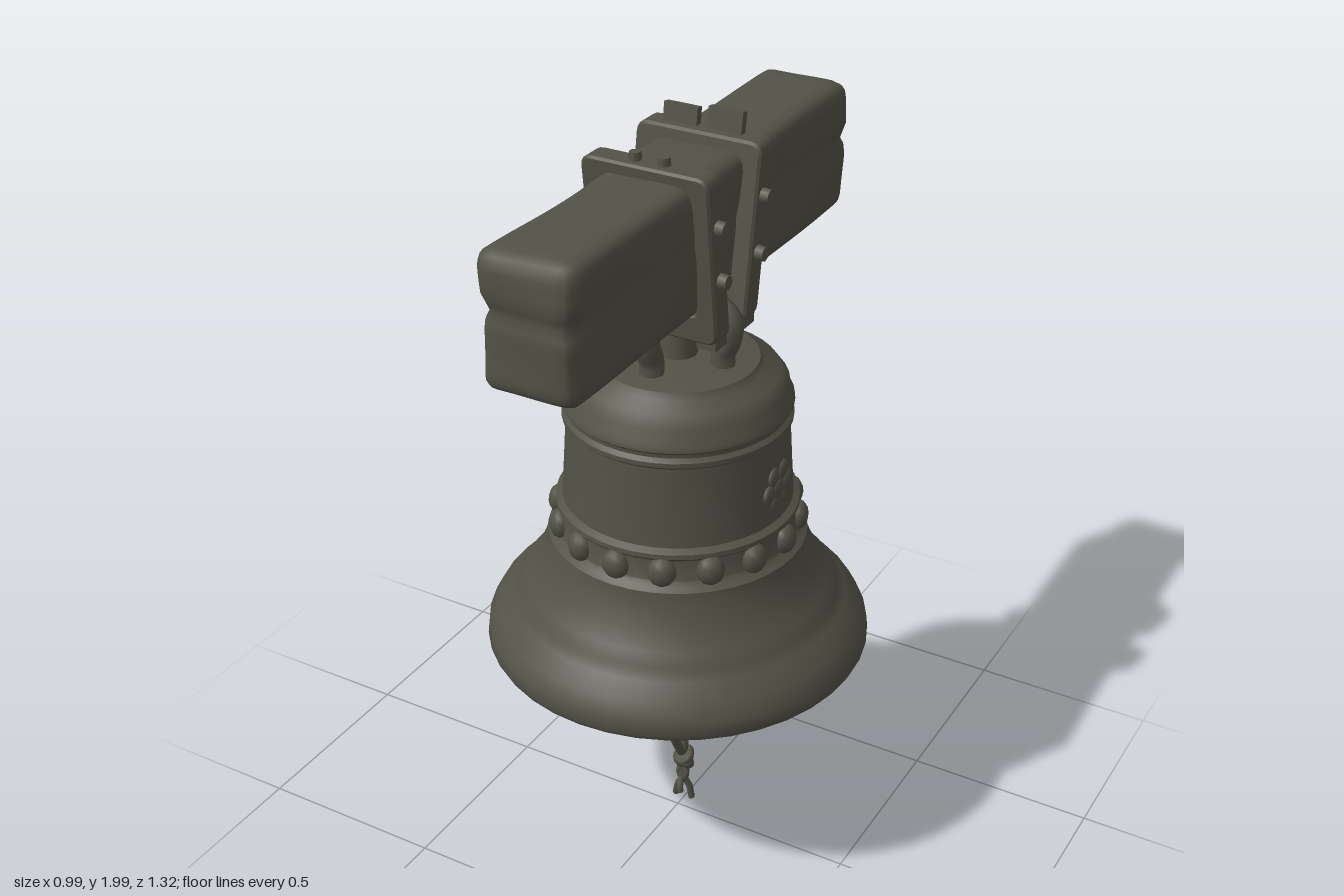
import * as THREE from 'three';
import { mergeVertices, toCreasedNormals } from 'three/addons/utils/BufferGeometryUtils.js';

const bronze = new THREE.MeshStandardMaterial({ color: 0x535246 });
bronze.name = 'weathered bronze';

function add(parent, geometry, name, x = 0, y = 0, z = 0) {
  const mesh = new THREE.Mesh(geometry, bronze);
  mesh.name = name;
  mesh.position.set(x, y, z);
  parent.add(mesh);
  return mesh;
}

function tube(points, radius, segments = 20) {
  const curve = new THREE.CatmullRomCurve3(points.map(p => new THREE.Vector3(...p)));
  return new THREE.TubeGeometry(curve, segments, radius, 8);
}

function rectPath(target, x0, y0, x1, y1, r) {
  target.moveTo(x0 + r, y0);
  target.lineTo(x1 - r, y0);
  target.quadraticCurveTo(x1, y0, x1, y0 + r);
  target.lineTo(x1, y1 - r);
  target.quadraticCurveTo(x1, y1, x1 - r, y1);
  target.lineTo(x0 + r, y1);
  target.quadraticCurveTo(x0, y1, x0, y1 - r);
  target.lineTo(x0, y0 + r);
  target.quadraticCurveTo(x0, y0, x0 + r, y0);
  return target;
}

// Rough-hewn beam: rounded box with gentle waves, grain and split ends
function beamGeometry() {
  const half = [0.122, 0.166, 0.655], r = 0.04;
  let g = new THREE.BoxGeometry(half[0] * 2, half[1] * 2, half[2] * 2, 12, 16, 40);
  g.deleteAttribute('uv');
  g.deleteAttribute('normal');
  g = mergeVertices(g);
  const pos = g.attributes.position, p = new THREE.Vector3(), inner = new THREE.Vector3();
  for (let i = 0; i < pos.count; i++) {
    p.fromBufferAttribute(pos, i);
    inner.set(...half.map((h, k) => THREE.MathUtils.clamp(p.getComponent(k), r - h, h - r)));
    p.sub(inner).setLength(r).add(inner);
    const split = Math.exp(-Math.pow((p.y - 0.025) / 0.02, 2));
    const end = Math.max(0, Math.abs(p.z) - 0.4) / 0.255;
    p.x *= 1 + 0.025 * Math.sin(p.z * 9 + p.y * 14) - 0.09 * split * (0.3 + end);
    p.y *= 1 + 0.015 * Math.sin(p.z * 11 + 1) + 0.01 * Math.sin(p.x * 25);
    p.z *= 1 - 0.018 * split * end + 0.006 * Math.sin(p.y * 20 + p.x * 12);
    pos.setXYZ(i, p.x, p.y, p.z);
  }
  g.computeVertexNormals();
  return g;
}

// Closed iron strap around the beam, leaning along z
function strapGeometry(z, lean) {
  const shape = rectPath(new THREE.Shape(), -0.155, 1.525, 0.163, 1.942, 0.025);
  shape.holes.push(rectPath(new THREE.Path(), -0.112, 1.585, 0.122, 1.905, 0.02));
  const g = new THREE.ExtrudeGeometry(shape, {
    depth: 0.055, bevelEnabled: true, bevelSize: 0.006, bevelThickness: 0.006, bevelSegments: 1, curveSegments: 4,
  });
  const pos = g.attributes.position;
  for (let i = 0; i < pos.count; i++) {
    pos.setZ(i, pos.getZ(i) - 0.0275 + z + (pos.getY(i) - 1.72) * lean);
  }
  return toCreasedNormals(g, 0.6);
}

export function createModel() {
  const model = new THREE.Group();
  model.name = 'hangingBell';

  // Bell body, closed underneath
  const profile = [
    [0, 0.63], [0.44, 0.625], [0.47, 0.615], [0.485, 0.615], [0.493, 0.63], [0.489, 0.665],
    [0.468, 0.705], [0.43, 0.745], [0.412, 0.762], [0.408, 0.775], [0.385, 0.8], [0.355, 0.85],
    [0.333, 0.905], [0.328, 0.935], [0.315, 0.945], [0.305, 0.955], [0.3, 1.01], [0.307, 1.018],
    [0.306, 1.03], [0.29, 1.04], [0.284, 1.12], [0.276, 1.25], [0.285, 1.258], [0.285, 1.27],
    [0.276, 1.28], [0.277, 1.29], [0.286, 1.298], [0.285, 1.31], [0.278, 1.32], [0.272, 1.35],
    [0.25, 1.38], [0.21, 1.395], [0.2, 1.412], [0.17, 1.417], [0, 1.42],
  ].map(([r, y]) => new THREE.Vector2(r, y));
  add(model, toCreasedNormals(new THREE.LatheGeometry(profile, 40), 0.7), 'bellBody');

  // Beaded band around the waist
  const band = new THREE.Group();
  band.name = 'beadedBand';
  const bead = new THREE.SphereGeometry(0.038, 10, 8);
  for (let i = 0; i < 16; i++) {
    const a = (i / 16) * Math.PI * 2;
    const m = add(band, bead, 'bead', Math.sin(a) * 0.302, 0.98, Math.cos(a) * 0.302);
    m.rotation.y = a;
    m.scale.set(0.95, 1.05, 0.75);
  }
  model.add(band);

  // Worn medallion on the left face
  const medallion = new THREE.Group();
  medallion.name = 'wornMedallion';
  medallion.position.set(0.282, 1.12, 0);
  medallion.rotation.set(0, Math.PI / 2, 0);
  const lump = new THREE.SphereGeometry(0.026, 8, 6);
  for (let i = 0; i < 7; i++) {
    const a = i * Math.PI / 3, d = i === 6 ? 0 : 0.045;
    add(medallion, lump, 'reliefLump', Math.cos(a) * d, Math.sin(a) * d, -0.004).scale.z = 0.4;
  }
  model.add(medallion);

  // Crown: centre post and four curved arms
  const crown = new THREE.Group();
  crown.name = 'crown';
  add(crown, new THREE.CylinderGeometry(0.04, 0.05, 0.2, 12), 'crownPost', 0, 1.5, 0);
  const arm = tube([[0, 1.4, 0.125], [0, 1.45, 0.125], [0, 1.485, 0.14], [0, 1.53, 0.145],
    [0, 1.56, 0.115], [0, 1.565, 0.07], [0, 1.55, 0.02]], 0.031);
  for (let i = 0; i < 4; i++) add(crown, arm, 'crownArm').rotation.y = i * Math.PI / 2;
  model.add(crown);

  // Wooden beam
  add(model, beamGeometry(), 'beam', 0.004, 1.752, 0);

  // Straps with side bolts
  const sideBolt = new THREE.CylinderGeometry(0.018, 0.021, 0.03, 8);
  for (const [z, lean, name] of [[0.105, 0.12, 'frontStrap'], [-0.083, -0.16, 'backStrap']]) {
    const strap = new THREE.Group();
    strap.name = name;
    add(strap, strapGeometry(z, lean), 'strapBand');
    for (const y of [1.685, 1.82]) {
      for (const s of [-1, 1]) {
        const bolt = add(strap, sideBolt, 'sideBolt', 0.004 + s * 0.171, y, z + (y - 1.72) * lean);
        bolt.rotation.z = -s * Math.PI / 2;
      }
    }
    // Lower lug of each strap side
    for (const x of [-0.13, 0.138]) {
      add(strap, new THREE.BoxGeometry(0.05, 0.05, 0.055), 'strapLug', x, 1.53, z - 0.19 * lean);
    }
    model.add(strap);
  }

  // Fastenings on top of the straps
  for (const x of [-0.035, 0.04]) {
    add(model, new THREE.CylinderGeometry(0.014, 0.016, 0.025, 6), 'topBolt', x, 1.955, 0.13);
  }
  for (const [x, h] of [[-0.06, 0.05], [0.058, 0.06]]) {
    add(model, new THREE.BoxGeometry(0.09, h, 0.02), 'topTab', x, 1.94 + h / 2, -0.125).rotation.x = -0.16;
  }

  // Clapper with an eye at its foot
  const clapper = new THREE.Group();
  clapper.name = 'clapper';
  const clapperProfile = [[0, 0.475], [0.022, 0.48], [0.035, 0.505], [0.05, 0.53], [0.062, 0.555],
    [0.06, 0.58], [0.066, 0.64]].map(([r, y]) => new THREE.Vector2(r, y));
  add(clapper, new THREE.LatheGeometry(clapperProfile, 14), 'clapperBall');
  add(clapper, new THREE.TorusGeometry(0.029, 0.016, 8, 16), 'clapperEye', 0, 0.476, 0);
  model.add(clapper);

  // Knotted rope
  const rope = new THREE.Group();
  rope.name = 'pullRope';
  add(rope, tube([[0, 0.16, -0.03], [-0.004, 0.22, 0], [-0.002, 0.3, 0.035], [0, 0.38, 0.05],
    [0, 0.43, 0.03], [0, 0.455, 0], [0, 0.43, -0.025], [0, 0.37, -0.04], [0.002, 0.27, -0.038],
    [0, 0.16, -0.03]], 0.012, 40), 'ropeLoop');
  add(rope, new THREE.SphereGeometry(0.028, 10, 8), 'knotCore', 0, 0.152, -0.032);
  for (const s of [-1, 1]) {
    const coil = add(rope, new THREE.TorusGeometry(0.021, 0.012, 8, 14), 'knotCoil', 0, 0.152 + s * 0.008, -0.032);
    coil.rotation.set(Math.PI / 2 + s * 0.5, s * 0.4, 0);
  }
  for (const [x, y, z] of [[-0.024, 0.02, -0.03], [0.02, 0.012, -0.042], [0.004, 0.05, -0.008]]) {
    add(rope, tube([[0, 0.15, -0.03], [-x * 0.5, 0.1, -0.025], [x * 0.6, 0.06, z * 0.9], [x, y, z]], 0.009, 10), 'ropeTail');
  }
  model.add(rope);

  return model;
}
